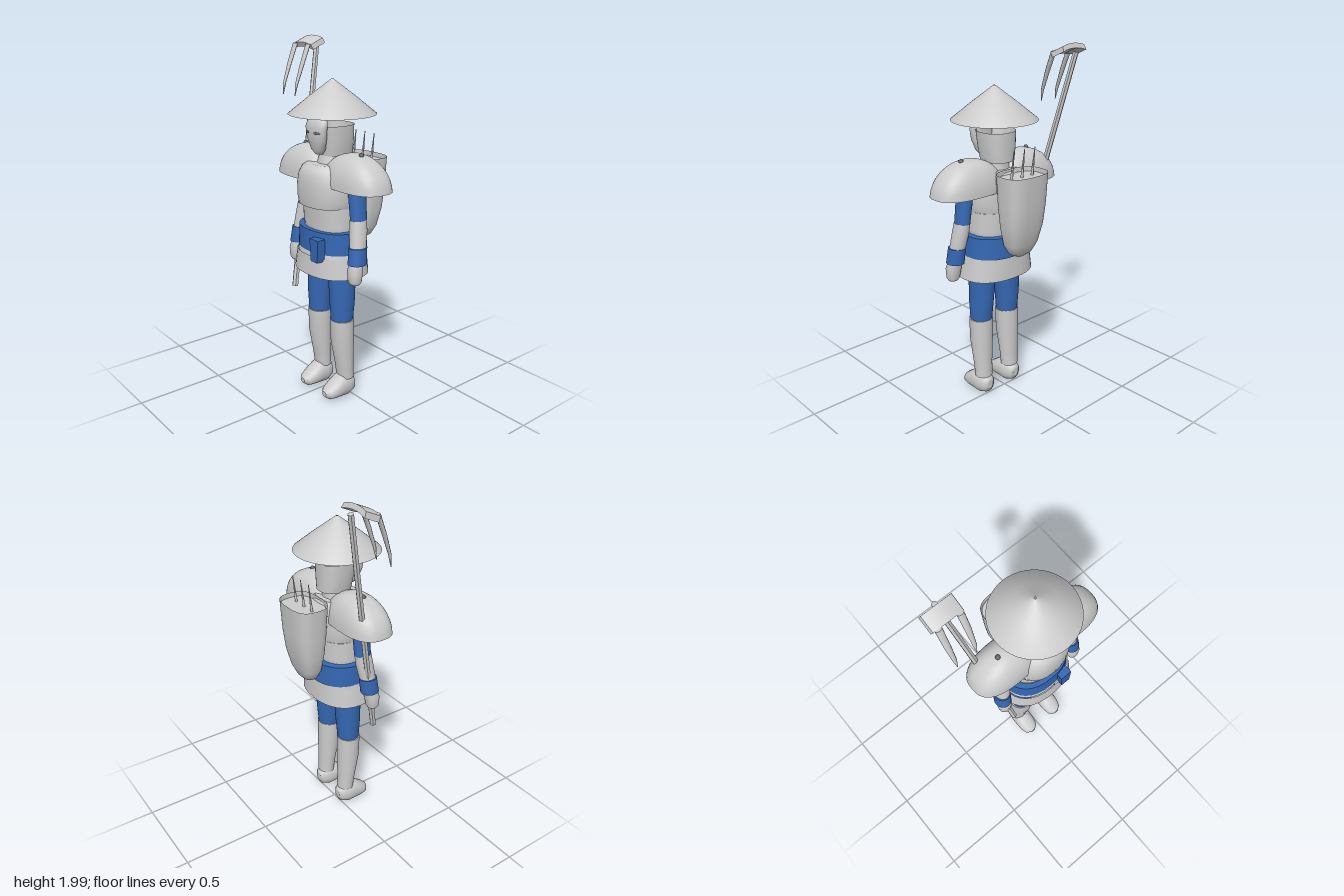
import * as THREE from 'three';

const CX = 0.035; // body centre line

const grey = new THREE.MeshStandardMaterial({ color: 0xcccccc, side: THREE.DoubleSide });
grey.name = 'pale grey';
const blue = new THREE.MeshStandardMaterial({ color: 0x3568b4, side: THREE.DoubleSide });
blue.name = 'blue cloth';
const dark = new THREE.MeshStandardMaterial({ color: 0x666666 });
dark.name = 'dark grey';

// Superellipse cross-sections [y, centreX, centreZ, radiusX, radiusZ], listed upwards
function loft(sections, { p = 2, n = 32, bottom = true, top = true } = {}) {
  const pos = [], idx = [];
  const bend = v => Math.sign(v) * Math.abs(v) ** (2 / p);
  const ring = ([y, cx, cz, rx, rz]) => {
    const start = pos.length / 3;
    for (let i = 0; i < n; i++) {
      const a = (i / n) * Math.PI * 2;
      pos.push(cx + rx * bend(Math.cos(a)), y, cz + rz * bend(Math.sin(a)));
    }
    return start;
  };
  const rings = sections.map(ring);
  for (let k = 0; k + 1 < rings.length; k++) {
    for (let i = 0; i < n; i++) {
      const j = (i + 1) % n, l = rings[k], u = rings[k + 1];
      idx.push(l + i, u + i, l + j, l + j, u + i, u + j);
    }
  }
  const cap = (s, up) => {
    const r = ring(s), c = pos.length / 3;
    pos.push(s[1], s[0], s[2]);
    for (let i = 0; i < n; i++) {
      const j = (i + 1) % n;
      idx.push(c, r + (up ? j : i), r + (up ? i : j));
    }
  };
  if (bottom) cap(sections[0], false);
  if (top) cap(sections[sections.length - 1], true);
  const g = new THREE.BufferGeometry();
  g.setAttribute('position', new THREE.Float32BufferAttribute(pos, 3));
  g.setIndex(idx);
  g.computeVertexNormals();
  return g;
}

// Straight round bar between two points
function rod(a, b, r0, r1, sides) {
  const A = new THREE.Vector3(...a), B = new THREE.Vector3(...b);
  const dir = B.clone().sub(A);
  const g = new THREE.CylinderGeometry(r1, r0, dir.length(), sides);
  g.applyQuaternion(new THREE.Quaternion().setFromUnitVectors(new THREE.Vector3(0, 1, 0), dir.normalize()));
  const m = A.add(B).multiplyScalar(0.5);
  return g.translate(m.x, m.y, m.z);
}

export function createModel() {
  const root = new THREE.Group();
  root.name = 'armouredFigure';
  const add = (name, geometry, material = grey) => {
    const m = new THREE.Mesh(geometry, material);
    m.name = name;
    root.add(m);
    return m;
  };
  // Body section on the centre line
  const s = (y, rx, rz, cz) => [y, CX, cz, rx, rz];

  // Straw hat: open cone with a tiny hole and a turned-in rim
  const hat = [[0.2, 1.622], [0.235, 1.62], [0.12, 1.713], [0.005, 1.8]].map(q => new THREE.Vector2(...q));
  add('hat', new THREE.LatheGeometry(hat, 48).toNonIndexed().translate(CX, 0, 0.04));
  add('hatLining', new THREE.CylinderGeometry(0.01, 0.2, 0.15, 48, 1, true).translate(CX, 1.697, 0.04));

  // Head and mask
  add('head', loft([s(1.405, 0.082, 0.092, 0.02), s(1.48, 0.095, 0.098, 0.025), s(1.565, 0.1, 0.104, 0.03)],
    { p: 2.4, top: false, bottom: false }));
  add('mask', loft([
    s(1.415, 0.02, 0.02, 0.128), s(1.44, 0.045, 0.03, 0.134), s(1.5, 0.068, 0.034, 0.144),
    s(1.56, 0.077, 0.035, 0.147), s(1.592, 0.071, 0.031, 0.138), s(1.605, 0.052, 0.022, 0.134),
  ], { p: 2.3 }));
  add('neckCloth', loft([s(1.39, 0.06, 0.065, 0.03), s(1.42, 0.055, 0.06, 0.03)]), blue);
  add('collar', loft([s(1.35, 0.09, 0.085, 0.04), s(1.37, 0.078, 0.08, 0.04), s(1.405, 0.072, 0.075, 0.035)]));

  // Torso armour, belt and skirt
  add('breastplate', loft([
    s(1.14, 0.165, 0.152, 0.06), s(1.18, 0.175, 0.157, 0.06), s(1.25, 0.175, 0.16, 0.06),
    s(1.31, 0.16, 0.157, 0.058), s(1.345, 0.14, 0.142, 0.055), s(1.362, 0.12, 0.12, 0.05),
  ], { p: 2.4 }));
  add('waistPlate', loft([s(1.03, 0.165, 0.132, 0.043), s(1.14, 0.164, 0.137, 0.045)], { p: 2.4 }));
  add('waistBand', loft([s(1.0, 0.16, 0.128, 0.043), s(1.03, 0.162, 0.13, 0.043)], { p: 2.4 }));
  add('belt', loft([s(0.89, 0.202, 0.165, 0.037), s(1.01, 0.2, 0.162, 0.037)], { p: 2.3 }), blue);
  add('skirtBand', loft([s(0.866, 0.204, 0.163, 0.042), s(0.892, 0.2, 0.16, 0.04)], { p: 2.3, bottom: false }));
  add('skirt', loft([s(0.76, 0.225, 0.172, 0.047), s(0.87, 0.208, 0.165, 0.045)],
    { p: 2.3, bottom: false, top: false }));
  add('hipBlock', loft([s(0.8, 0.16, 0.12, 0.045), s(0.88, 0.17, 0.13, 0.045)]), blue);

  // Hanging belt end
  const flap = new THREE.Shape([[0.09, 0.855], [0.145, 0.855], [0.152, 0.98], [0.08, 0.98]].map(q => new THREE.Vector2(...q)));
  add('beltFlap', new THREE.ExtrudeGeometry(flap, { depth: 0.05, bevelEnabled: false }).translate(0, 0, 0.183), blue);

  for (const side of [1, -1]) {
    const name = part => (side > 0 ? 'left' : 'right') + part;
    const q = (y, dx, cz, rx, rz) => [y, CX + side * dx, cz, rx, rz];

    // Eye slit
    const eye = add(name('Eye'), new THREE.SphereGeometry(1, 16, 8), dark);
    eye.scale.set(0.023, 0.008, 0.005);
    eye.position.set(CX + side * 0.041, 1.533, 0.174);
    eye.rotation.set(0, side * 0.4, side * 0.05);

    // Shoulder guard: open dome with a bolt
    const dome = [];
    for (let i = 0; i <= 9; i++) {
      const a = (i / 9) * Math.PI / 2, r = Math.max(Math.cos(a), 0.01);
      dome.push(q(1.258 + 0.178 * Math.sin(a), 0.2 - 0.015 * Math.sin(a), 0.038, 0.212 * r, 0.128 * r ** 0.85));
    }
    add(name('ShoulderGuard'), loft(dome, { p: 2.6, n: 40, bottom: false }));
    add(name('ShoulderBolt'), new THREE.SphereGeometry(0.014, 10, 6).translate(CX + side * 0.235, 1.43, 0.04), dark);

    // Arm
    add(name('UpperArm'), loft([q(1.09, 0.228, 0.048, 0.039, 0.048), q(1.33, 0.2, 0.045, 0.045, 0.052)]), blue);
    add(name('Forearm'), loft([q(0.94, 0.249, 0.07, 0.042, 0.046), q(1.03, 0.236, 0.056, 0.044, 0.05), q(1.092, 0.228, 0.05, 0.04, 0.049)]));
    add(name('Cuff'), loft([q(0.86, 0.257, 0.08, 0.048, 0.053), q(0.95, 0.251, 0.07, 0.046, 0.051)]), blue);
    add(name('Hand'), loft([
      q(0.752, 0.26, 0.098, 0.027, 0.024), q(0.768, 0.26, 0.098, 0.036, 0.034),
      q(0.82, 0.258, 0.096, 0.042, 0.04), q(0.865, 0.257, 0.087, 0.034, 0.036),
    ], { p: 2.3 }));

    // Leg
    add(name('Thigh'), loft([q(0.475, 0.099, 0.052, 0.062, 0.062), q(0.6, 0.098, 0.05, 0.07, 0.072), q(0.82, 0.09, 0.047, 0.079, 0.079)]), blue);
    add(name('Shin'), loft([
      q(0.12, 0.102, 0.03, 0.053, 0.046), q(0.2, 0.102, 0.037, 0.056, 0.05),
      q(0.35, 0.101, 0.05, 0.066, 0.065), q(0.485, 0.1, 0.053, 0.069, 0.066),
    ]));
    // Shoe: sections run heel to toe, then turned to lie along z
    const shoe = [
      [-0.026, 0.075, 0.02, 0.025], [-0.012, 0.072, 0.042, 0.05], [0.03, 0.073, 0.056, 0.068],
      [0.075, 0.076, 0.058, 0.068], [0.12, 0.062, 0.056, 0.05], [0.16, 0.051, 0.045, 0.034], [0.182, 0.05, 0.016, 0.015],
    ].map(([z, y, rx, ry]) => q(z, 0.102, -y, rx, ry));
    add(name('Shoe'), loft(shoe, { p: 2.2 }).rotateX(Math.PI / 2));
  }

  // Back basket with a recessed lid and three spikes
  add('basket', loft([
    s(0.905, 0.03, 0.02, -0.16), s(0.925, 0.068, 0.04, -0.162), s(0.98, 0.1, 0.06, -0.166),
    s(1.08, 0.121, 0.079, -0.172), s(1.2, 0.131, 0.092, -0.174), s(1.37, 0.139, 0.1, -0.175),
  ], { p: 3, n: 40, top: false }));
  add('basketFilling', loft([s(1.33, 0.13, 0.092, -0.175), s(1.345, 0.133, 0.094, -0.175)], { p: 3, n: 40 }));
  for (const x of [-0.04, CX, 0.11]) {
    add('spike', rod([x, 1.33, -0.17], [x, 1.5, -0.19], 0.009, 0.002, 6));
  }

  // Rake: pole, arched head and two curved prongs
  const pole = rod([-0.19, 0.6, 0.137], [-0.362, 1.955, -0.165], 0.018, 0.016, 6).toNonIndexed();
  pole.computeVertexNormals();
  add('rakePole', pole);
  const arch = new THREE.Shape();
  arch.moveTo(-0.09, -0.024);
  arch.quadraticCurveTo(0, 0.006, 0.09, -0.024);
  arch.lineTo(0.083, 0.006);
  arch.quadraticCurveTo(0, 0.032, -0.083, 0.006);
  const rakeHead = add('rakeHead', new THREE.ExtrudeGeometry(arch, { depth: 0.09, bevelEnabled: false }).translate(0, 0, -0.045));
  rakeHead.position.set(-0.365, 1.963, -0.106);
  rakeHead.rotation.x = 0.41;
  for (const [x, tip] of [[-0.422, -0.42], [-0.303, -0.308]]) {
    add('rakeProng', loft([
      [1.675, tip, 0.032, 0.002, 0.002], [1.74, (x + tip) / 2, 0.021, 0.011, 0.007],
      [1.85, x, -0.018, 0.017, 0.01], [1.955, x, -0.06, 0.019, 0.011],
    ], { n: 8 }));
  }
  return root;
}
